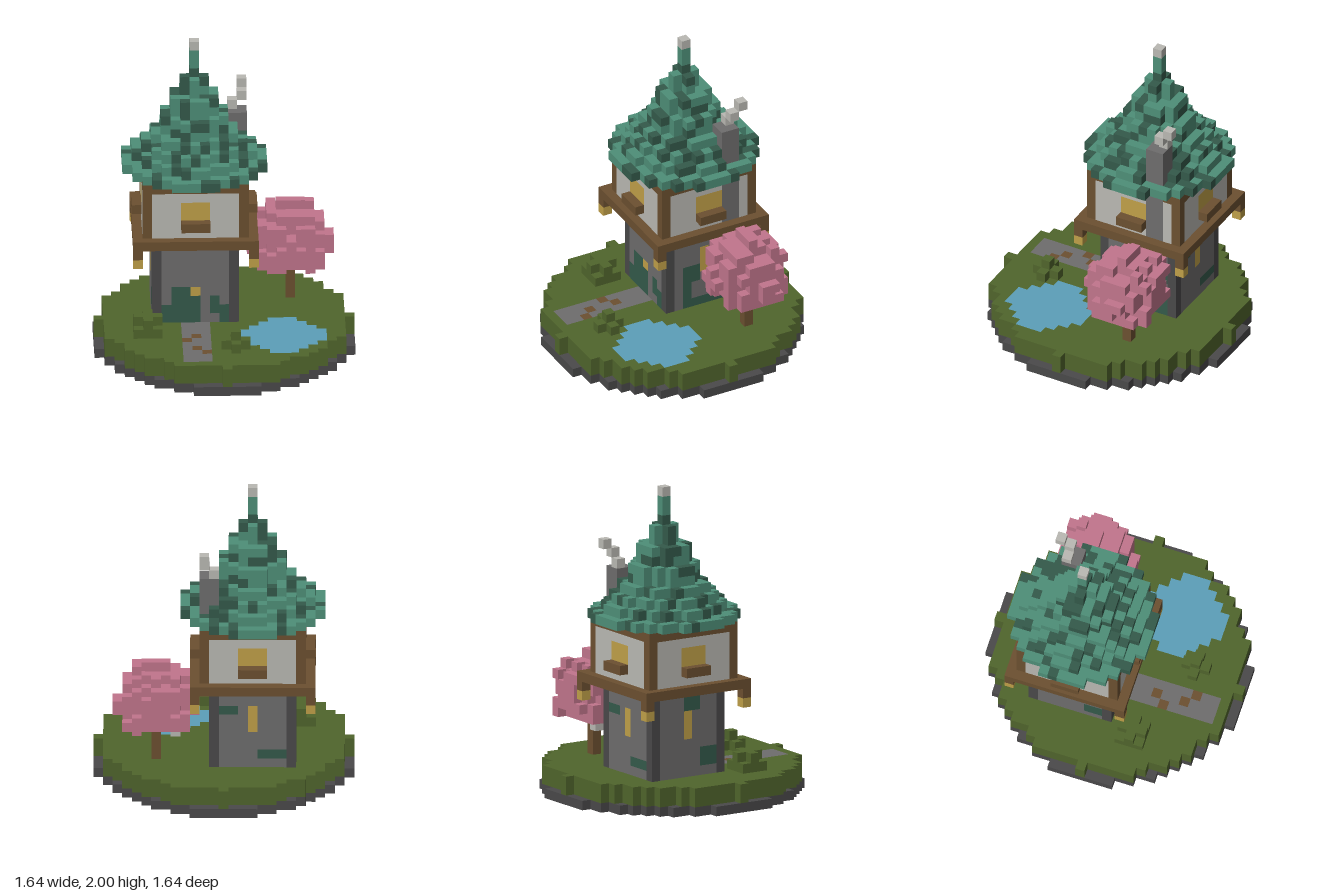
import * as THREE from 'three';

const U = 2 / 33; // edge of one block; cells are (i, j, k) with j = 0 on the ground

const material = (name, color) => {
  const m = new THREE.MeshStandardMaterial({ color });
  m.name = name;
  return m;
};

// Repeatable pseudo-random value 0..1 for a cell
const noise = (i, j, k) => {
  const s = Math.sin(i * 12.9898 + j * 78.233 + k * 37.719) * 43758.5453;
  return s - Math.floor(s);
};

export function createModel() {
  const grass = material('grass green', 0x50652c);
  const darkStone = material('dark stone', 0x4a494a);
  const stone = material('grey stone', 0x6e6d6d);
  const plaster = material('pale plaster', 0xbab9b3);
  const wood = material('brown wood', 0x6c5030);
  const glow = material('lamp yellow', 0xc0a048);
  const roofLight = material('roof green', 0x4e8f78);
  const roofDark = material('dark green', 0x345a4b);
  const blossom = material('blossom pink', 0xc1758c);
  const water = material('water blue', 0x5c9fb9);

  const cells = new Map(); // later parts replace earlier ones
  const parts = new Map();
  const key = (i, j, k) => `${i},${j},${k}`;
  const set = (part, mat, i, j, k) => {
    parts.set(part, mat);
    cells.set(key(i, j, k), { part, i, j, k });
  };
  // Block between two inclusive corners, with an optional test per cell
  const fill = (part, mat, [i0, j0, k0], [i1, j1, k1], test = () => true) => {
    for (let i = i0; i <= i1; i++)
      for (let j = j0; j <= j1; j++)
        for (let k = k0; k <= k1; k++) if (test(i, j, k)) set(part, mat, i, j, k);
  };
  const disc = (ci, ck, r2) => (i, j, k) => (i - ci) ** 2 + (k - ck) ** 2 <= r2;

  // Round island
  fill('islandStone', darkStone, [-13, 0, -13], [13, 0, 13], disc(0, 0, 179));
  fill('islandGrass', grass, [-13, 1, -13], [13, 2, 13], disc(0, 0, 169));
  fill('pond', water, [2, 2, 1], [10, 2, 9], disc(6, 5, 17));
  fill('path', stone, [-4, 2, 2], [-2, 2, 11]);
  for (const [i, k] of [[-3, 5], [-4, 6], [-3, 8], [-2, 9]]) set('pathPatches', wood, i, 2, k);

  // Bushes
  fill('leftBush', grass, [-9, 3, 3], [-7, 3, 5]);
  fill('leftBush', grass, [-9, 4, 3], [-7, 4, 5], disc(-8, 4, 1));
  fill('frontBush', grass, [0, 3, 7], [2, 3, 9], disc(1, 8, 1));
  set('frontBush', grass, 1, 4, 8);

  // Stone lower tower with dark corner columns
  const C = -3; // tower centre in both i and k
  fill('towerWall', stone, [-7, 3, -7], [1, 11, 1]);
  for (const i of [-7, 1]) for (const k of [-7, 1]) fill('towerCorners', darkStone, [i, 3, k], [i, 11, k]);

  // Ivy and doorway
  const ivy = (a, b) => fill('ivy', roofDark, a, b);
  ivy([-6, 3, 1], [0, 4, 1]);
  ivy([-5, 5, 1], [-1, 5, 1]);
  ivy([-5, 6, 1], [-4, 6, 1]);
  ivy([1, 3, -6], [1, 5, -1]);
  ivy([1, 6, -2], [1, 7, -1]);
  ivy([1, 7, -6], [1, 7, -5]);
  fill('towerWall', stone, [1, 4, -4], [1, 5, -2]);
  ivy([-6, 4, -7], [-4, 4, -7]);
  ivy([-1, 9, -7], [0, 9, -7]);
  ivy([-7, 10, -3], [-7, 11, -2]);
  ivy([-7, 4, -1], [-7, 5, 0]);
  fill('doorStones', stone, [-2, 3, 1], [-2, 5, 1]);
  set('doorStones', stone, -1, 3, 1);
  set('doorLamp', glow, -3, 6, 1);

  // Slit windows on the back and both sides
  fill('slitWindows', glow, [C, 7, -7], [C, 9, -7]);
  for (const i of [-7, 1]) fill('slitWindows', glow, [i, 7, C], [i, 9, C]);

  // Wooden floor with corner lanterns
  fill('upperFloor', wood, [-9, 12, -9], [3, 12, 3]);
  for (const i of [-9, 3]) for (const k of [-9, 3]) {
    set('lanternPosts', wood, i, 11, k);
    set('lanterns', glow, i, 10, k);
  }

  // Plastered upper storey with timber frame
  fill('upperWall', plaster, [-8, 13, -8], [2, 17, 2]);
  fill('topBeams', wood, [-8, 18, -8], [2, 18, 2]);
  for (const i of [-8, 2]) for (const k of [-8, 2]) fill('timberPosts', wood, [i, 13, k], [i, 17, k]);

  // Windows and window boxes, one per side
  for (const s of [-1, 1]) {
    const w = C + 5 * s, b = C + 6 * s;
    fill('windows', glow, [-4, 14, w], [-2, 16, w]);
    fill('windows', glow, [w, 14, -4], [w, 16, -2]);
    fill('windowBoxes', wood, [-4, 14, b], [-2, 14, b]);
    fill('windowBoxes', wood, [b, 14, -4], [b, 14, -2]);
  }

  // Stepped conical roof with mottled shingles
  [7, 6, 5, 4, 3, 3, 2, 2, 1, 1, 0, 0, 0].forEach((r, n) => {
    const j = 19 + n, inside = disc(C, C, (r + 0.3) ** 2);
    const dark = (i, k) => noise(i, j, k) < 0.38 || n === 10;
    const lo = [C - r, j, C - r], hi = [C + r, j, C + r];
    fill('roofShingles', roofLight, lo, hi, (i, y, k) => inside(i, y, k) && !dark(i, k));
    fill('darkRoofShingles', roofDark, lo, hi, (i, y, k) => inside(i, y, k) && dark(i, k));
  });
  set('roofTip', plaster, C, 32, C);

  // Chimney and smoke
  fill('chimney', stone, [1, 13, -6], [2, 23, -5]);
  for (const c of [[1, 24, -6], [2, 25, -6], [2, 26, -7]]) set('smoke', plaster, ...c);

  // Blossom tree with a ragged crown
  fill('treeTrunk', wood, [7, 3, -5], [7, 8, -5]);
  fill('treeCrown', blossom, [3, 7, -8], [11, 13, -1], (i, j, k) => {
    const d = (i - 7) ** 2 + (j - 9) ** 2 + (k + 5) ** 2;
    return d <= 17 && (d < 13 || noise(i, j, k) > 0.28);
  });
  set('hangingLamp', plaster, 5, 6, -6);

  // Turn the visible block faces of each part into one mesh
  const group = new THREE.Group();
  group.name = 'towerIsland';
  const buffers = new Map([...parts.keys()].map((p) => [p, { pos: [], nor: [] }]));
  for (const { part, i, j, k } of cells.values()) {
    const c = [i, j + 0.5, k];
    const { pos, nor } = buffers.get(part);
    for (let a = 0; a < 3; a++) for (const s of [-1, 1]) {
      const n = [0, 0, 0];
      n[a] = s;
      if (cells.has(key(i + n[0], j + n[1], k + n[2]))) continue;
      const b = (a + 1) % 3, d = (a + 2) % 3;
      const corner = (p, q) => {
        const v = [...c];
        v[a] += s / 2;
        v[b] += (p * s) / 2;
        v[d] += q / 2;
        return v.map((x) => x * U);
      };
      const [A, B, D, E] = [corner(-1, -1), corner(1, -1), corner(1, 1), corner(-1, 1)];
      for (const v of [A, B, D, A, D, E]) {
        pos.push(...v);
        nor.push(...n);
      }
    }
  }
  for (const [part, { pos, nor }] of buffers) {
    if (!pos.length) continue;
    const g = new THREE.BufferGeometry();
    g.setAttribute('position', new THREE.Float32BufferAttribute(pos, 3));
    g.setAttribute('normal', new THREE.Float32BufferAttribute(nor, 3));
    const mesh = new THREE.Mesh(g, parts.get(part));
    mesh.name = part;
    group.add(mesh);
  }
  return group;
}
